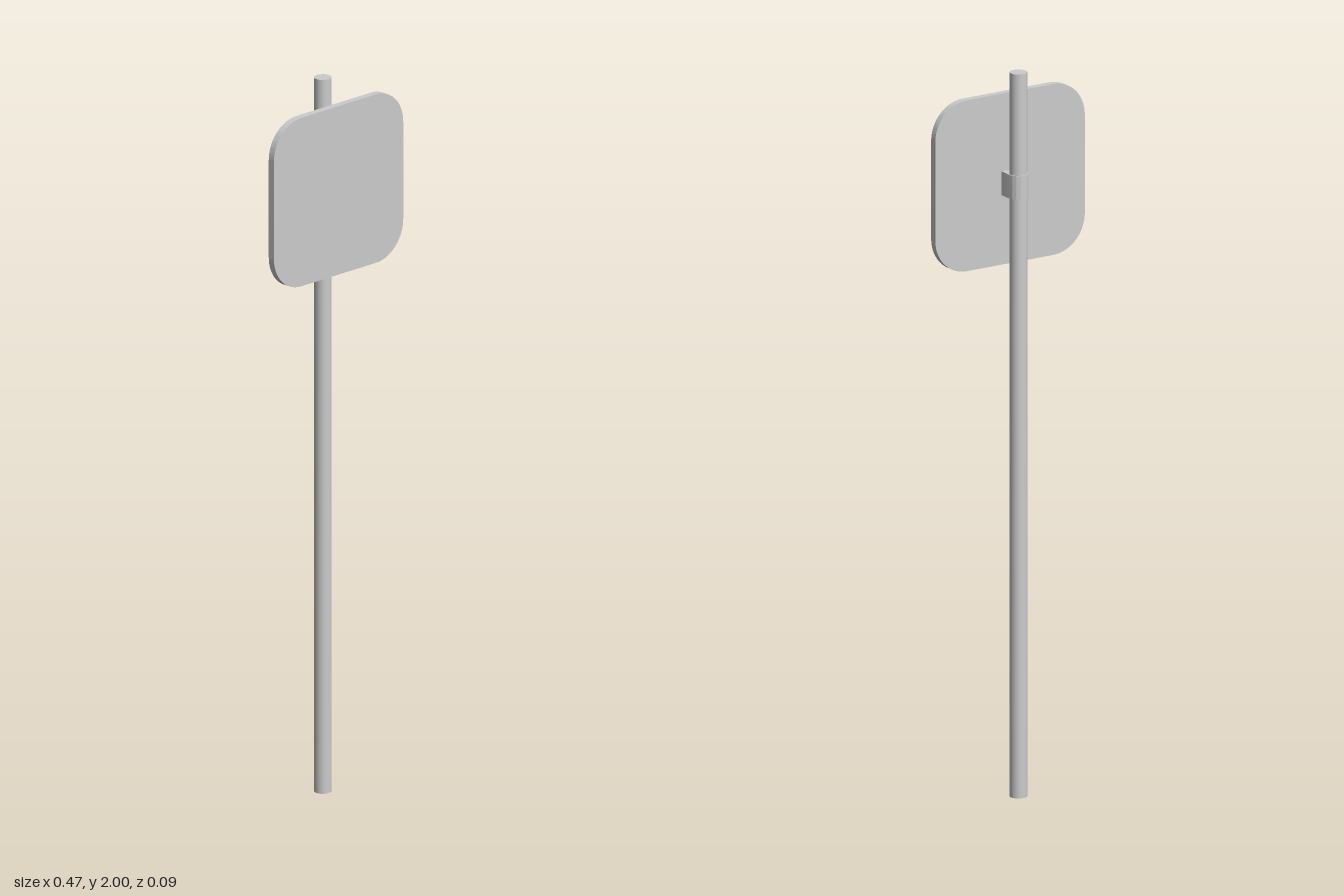
import * as THREE from 'three';
import { toCreasedNormals } from 'three/addons/utils/BufferGeometryUtils.js';

const POLE_Z = -0.0175;
const POLE_R = 0.0235;
const PANEL_BACK = 0.023;

function addPart(group, name, geometry) {
  const mesh = new THREE.Mesh(geometry, new THREE.MeshStandardMaterial({ color: 0xcccccc }));
  mesh.name = name;
  group.add(mesh);
  return mesh;
}

// Square outline with rounded corners, centred on the origin
function roundedSquare(half, r) {
  const shape = new THREE.Shape();
  const c = half - r;
  [[c, c], [-c, c], [-c, -c], [c, -c]].forEach(([x, y], i) => {
    shape.absarc(x, y, r, i * Math.PI / 2, (i + 1) * Math.PI / 2, false);
  });
  shape.closePath();
  return shape;
}

function extrude(shape, depth, curveSegments) {
  const geometry = new THREE.ExtrudeGeometry(shape, { depth, bevelEnabled: false, curveSegments });
  return toCreasedNormals(geometry, 0.6);
}

export function createModel() {
  const group = new THREE.Group();
  group.name = 'signPost';

  // Upright round pole
  const pole = addPart(group, 'pole', new THREE.CylinderGeometry(POLE_R, POLE_R, 2, 32));
  pole.position.set(0, 1, POLE_Z);

  // Blank sign panel in front of the pole
  const panel = addPart(group, 'signPanel', extrude(roundedSquare(0.236, 0.1), 0.02, 16));
  panel.position.set(0, 1.698, PANEL_BACK);

  // U-shaped clamp around the pole, reaching to the panel's back
  const r = 0.027;
  const reach = PANEL_BACK - POLE_Z;
  const outline = new THREE.Shape();
  outline.moveTo(-r, -reach);
  outline.lineTo(r, -reach);
  outline.absarc(0, 0, r, 0, Math.PI, false);
  outline.closePath();
  const hole = new THREE.Path();
  hole.absarc(0, 0, POLE_R - 0.0005, 0, Math.PI * 2, true);
  outline.holes.push(hole);
  const clamp = addPart(group, 'clamp', extrude(outline, 0.066, 20).rotateX(-Math.PI / 2));
  clamp.position.set(0, 1.654, POLE_Z);

  return group;
}
